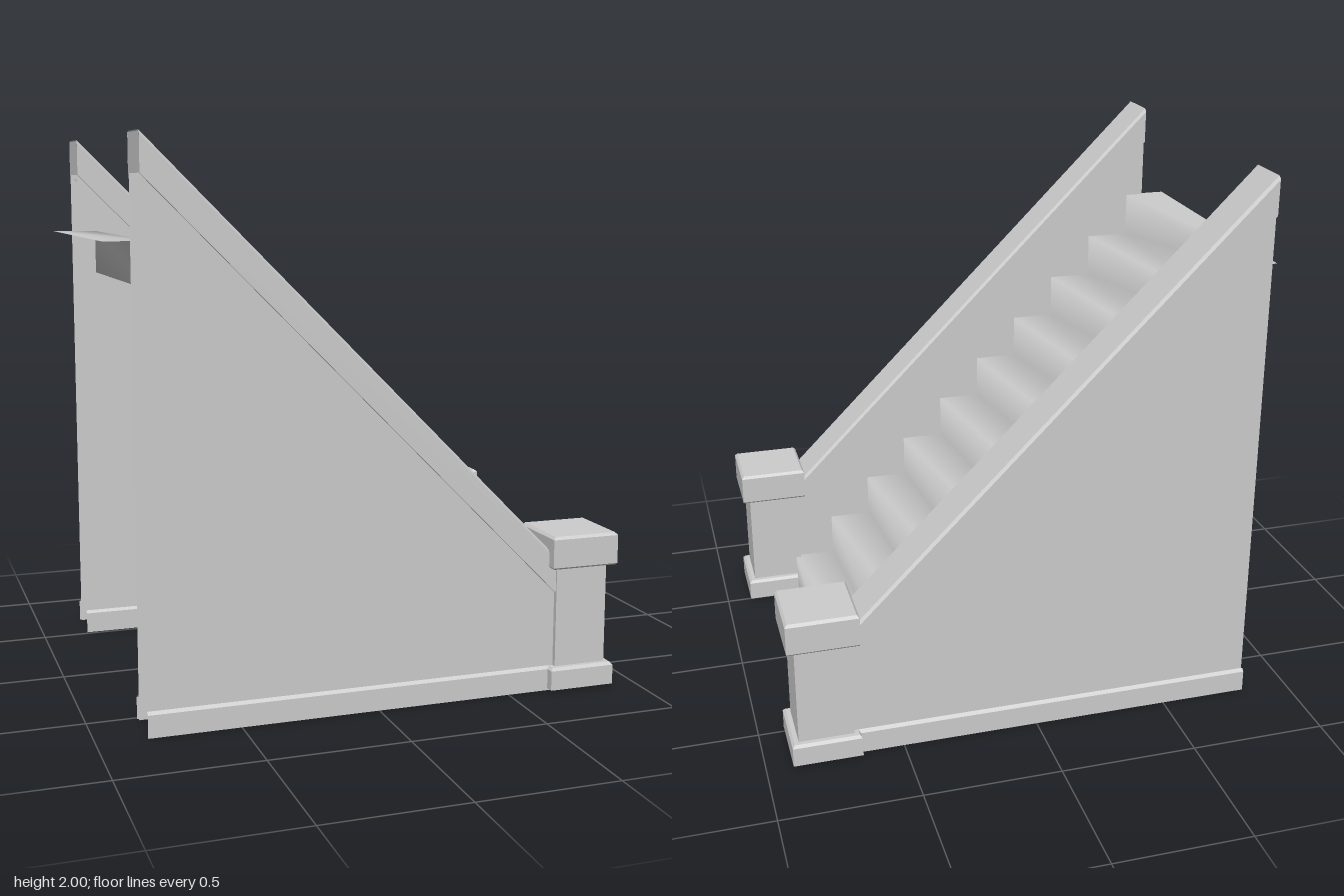
import * as THREE from 'three';
import { toCreasedNormals } from 'three/addons/utils/BufferGeometryUtils.js';

const stone = new THREE.MeshStandardMaterial({ color: 0xcccccc, side: THREE.DoubleSide });
stone.name = 'plain grey';

// Sheet stretched between two matching rows of points
function sheet(rowA, rowB) {
  const n = rowA.length, index = [];
  for (let j = 0; j < n - 1; j++) index.push(j, n + j, n + j + 1, j, n + j + 1, j + 1);
  const g = new THREE.BufferGeometry();
  g.setAttribute('position', new THREE.Float32BufferAttribute([...rowA, ...rowB].flat(), 3));
  g.setIndex(index);
  g.computeVertexNormals();
  return g;
}

function add(parent, name, geometry) {
  const mesh = new THREE.Mesh(geometry, stone);
  mesh.name = name;
  parent.add(mesh);
  return mesh;
}

const BACK = -0.82, FRONT = 0.78;
const slope = x => 1.18 - x; // top line of the handrail

// Mirrors a half profile of [z, y] points so it runs up one side and down the other
const bothSides = half => [...half, ...half.map(([z, y]) => [-z, y]).reverse()];

// Parts that follow the slope, and parts that stay level
const row = (profile, x, base) => profile.map(([z, y]) => [x, base + y, z]);
const sloped = (profile) => toCreasedNormals(
  sheet(row(profile, BACK, slope(BACK)), row(profile, FRONT, slope(FRONT))), 0.5);

function balustrade() {
  const g = new THREE.Group();

  // Hollow wall: one thin panel on each side
  const outline = new THREE.Shape([
    new THREE.Vector2(BACK, 0), new THREE.Vector2(FRONT, 0),
    new THREE.Vector2(FRONT, slope(FRONT) - 0.13), new THREE.Vector2(BACK, slope(BACK) - 0.13),
  ]);
  for (const s of [1, -1]) {
    const panel = add(g, 'wallPanel', new THREE.ShapeGeometry(outline));
    panel.position.z = s * 0.082;
    if (s < 0) { // face the panel the other way
      const idx = panel.geometry.index;
      panel.geometry.setIndex(Array.from(idx.array).reverse());
      panel.geometry.computeVertexNormals();
    }

    // Baseboard with a small sloping top
    const board = [[0.094, 0], [0.094, 0.08], [0.082, 0.09]].map(([z, y]) => [s * z, y]);
    if (s < 0) board.reverse();
    add(g, 'baseboard', toCreasedNormals(sheet(row(board, BACK - 0.005, 0), row(board, FRONT, 0)), 0.5));
  }

  // Bevelled handrail with its back end closed
  add(g, 'handrail', sloped(bothSides([[0.08, -0.135], [0.094, -0.135], [0.094, -0.012], [0.082, 0]])));
  const cap = add(g, 'handrailEnd', new THREE.PlaneGeometry(0.186, 0.131));
  cap.rotation.y = -Math.PI / 2;
  cap.position.set(BACK, slope(BACK) - 0.0695, 0);

  // Square newel post, open underneath
  const r = Math.SQRT2;
  const profile = [
    [0.125, 0.008], [0.125, 0.08], [0.116, 0.09], [0.1, 0.09], [0.1, 0.46], [0.124, 0.46],
    [0.129, 0.466], [0.129, 0.57], [0.12, 0.58], [0, 0.58],
  ].map(([half, y]) => new THREE.Vector2(half * r, y));
  const post = add(g, 'newelPost',
    toCreasedNormals(new THREE.LatheGeometry(profile, 4, Math.PI / 4), 0.5));
  post.position.x = FRONT;
  return g;
}

export function createModel() {
  const model = new THREE.Group();
  model.name = 'staircase';

  // Steps: one smooth folded sheet
  const path = [[0.7, 0]];
  for (let i = 0; i < 10; i++) {
    const y = (i + 1) * 0.1645;
    path.push([0.7 - i * 0.1615, y], [0.7 - (i + 1) * 0.1615, y]);
  }
  const at = z => path.map(([x, y]) => [x, y, z]);
  add(model, 'steps', sheet(at(0.54), at(-0.54)));

  // One balustrade on each side
  for (const s of [1, -1]) {
    const b = balustrade();
    b.name = s > 0 ? 'frontBalustrade' : 'backBalustrade';
    b.position.z = s * 0.6075;
    model.add(b);
  }
  return model;
}
